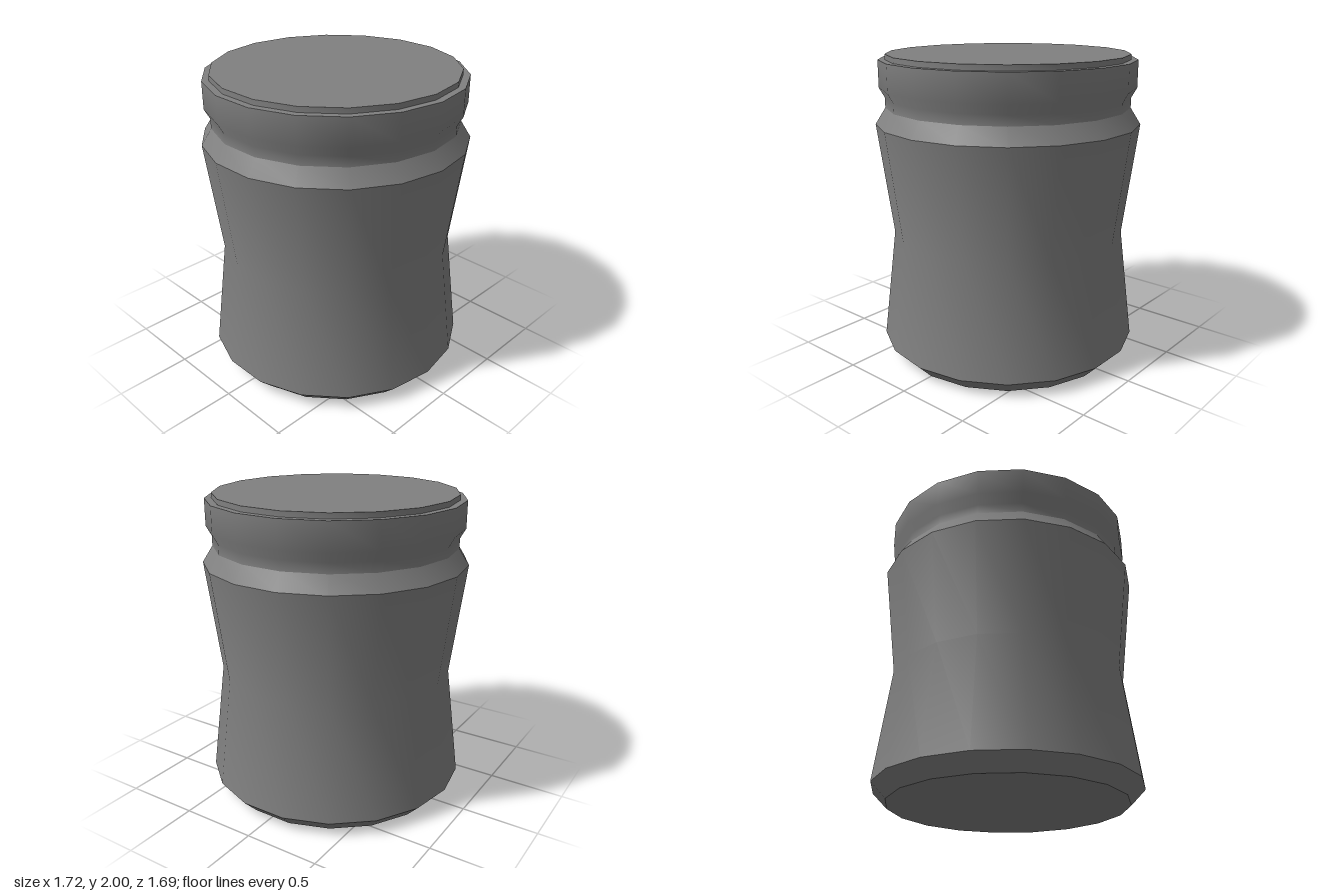
import * as THREE from 'three';
import { toCreasedNormals } from 'three/addons/utils/BufferGeometryUtils.js';

const SIDES = 18;
const CREASE = 0.66; // smooth around the sides, sharp at the rims

// Revolve a [radius, height] profile, with a corner on the x axis
function turned(name, profile, material) {
  const points = profile.map(([r, y]) => new THREE.Vector2(r, y));
  const lathe = new THREE.LatheGeometry(points, SIDES, Math.PI / 2);
  const mesh = new THREE.Mesh(toCreasedNormals(lathe, CREASE), material);
  mesh.name = name;
  return mesh;
}

export function createModel() {
  const group = new THREE.Group();
  group.name = 'jar';
  const material = new THREE.MeshStandardMaterial({ color: 0x808080 });

  // Closed base, pinched waist and sloping shoulder
  group.add(turned('jarBody', [
    [0, 0], [0.765, 0], [0.86, 0.098], [0.768, 0.83], [0.86, 1.56], [0.794, 1.664],
  ], material));

  // Grooved neck flaring softly into the collar
  group.add(turned('neck', [
    [0.794, 1.664], [0.794, 1.728], [0.829, 1.791], [0.829, 1.966], [0.784, 1.966],
  ], material));

  // Thin raised disc closing the top
  group.add(turned('lid', [[0.784, 1.966], [0.784, 2], [0, 2]], material));

  return group;
}
